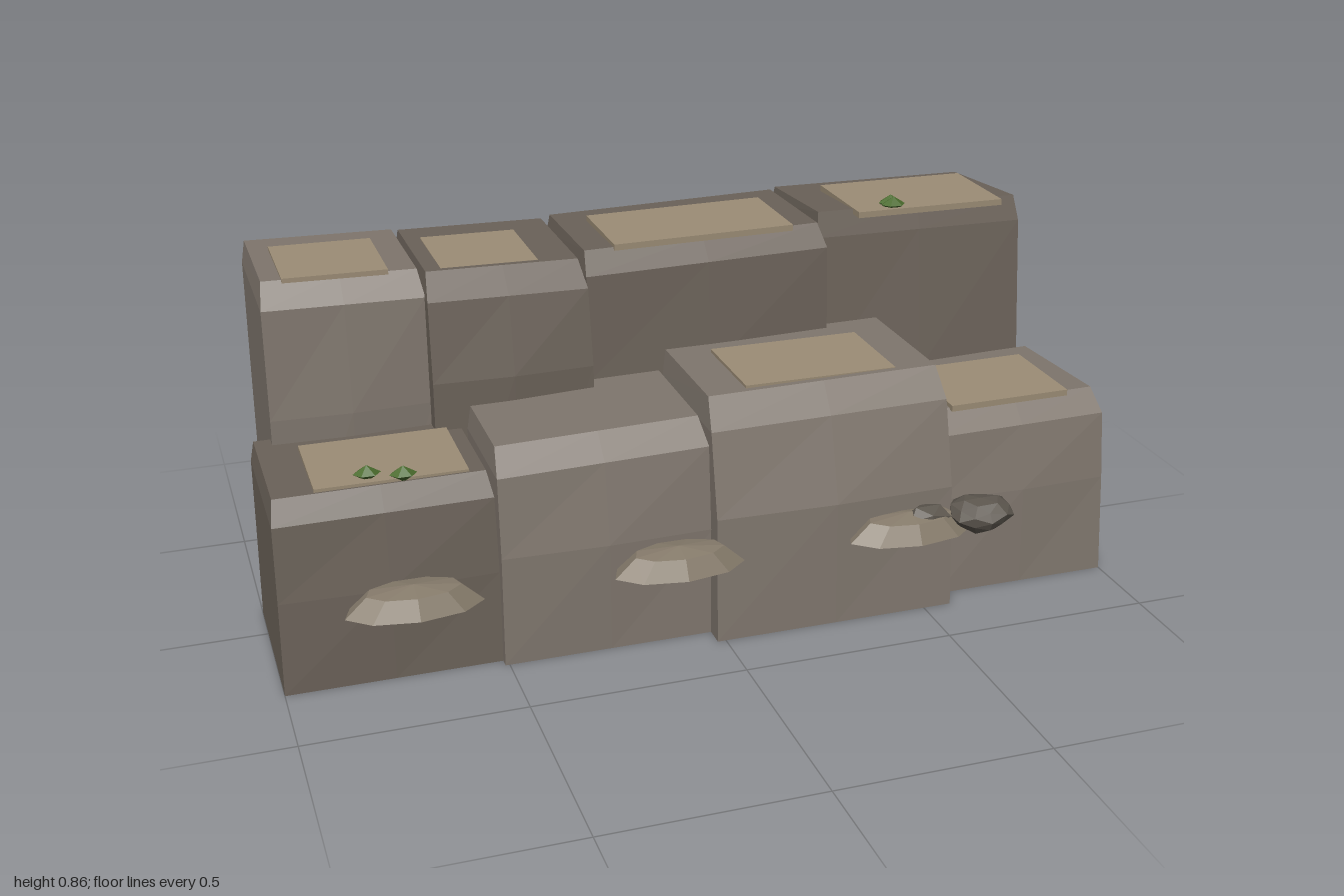
import * as THREE from 'three';

const mat = (color, extra = {}) =>
  new THREE.MeshStandardMaterial({ color, flatShading: true, ...extra });
const paleStone = mat(0x7f766d);
const darkStone = mat(0x6b6259);
const tan = mat(0x9c8d76);
const ledgeStone = mat(0x877c6c);
const rockStone = mat(0x5d574f);
const green = mat(0x4a6b2c);

function add(group, name, geometry, material, x = 0, y = 0, z = 0) {
  const mesh = new THREE.Mesh(geometry, material);
  mesh.name = name;
  mesh.position.set(x, y, z);
  group.add(mesh);
  return mesh;
}

// Stone block: a box whose rows follow a [z, y] front profile.
// yl / yr shift the top at each end, drop lowers the back of the top.
function blockGeometry({ x0, x1, yl = 0, yr = 0, drop = 0, backIn = 0, back, profile }) {
  const g = new THREE.BoxGeometry(1, 1, 1, 2, 3, 1);
  const p = g.attributes.position;
  for (let i = 0; i < p.count; i++) {
    const u = p.getX(i) + 0.5;
    const row = Math.round((p.getY(i) + 0.5) * 3);
    const front = p.getZ(i) > 0;
    const [fz, fy] = profile[row];
    const inset = [0, 0.003, 0.005, 0.014][row];
    let x = x0 + inset + u * (x1 - x0 - 2 * inset);
    let y = fy + (row > 1 ? yl + (yr - yl) * u : 0);
    let z = front ? fz : back;
    if (!front && row === 3) y -= drop;
    if (!front && u > 0.9) x -= backIn;
    // the middle of the face swells a little
    if (front && row === 1 && Math.abs(u - 0.5) < 0.1) z += 0.008;
    p.setXYZ(i, x, y, z);
  }
  g.computeVertexNormals();
  return g;
}

// Half lens with a flat underside
function ledgeGeometry() {
  const pts = [[0, 0], [1, 0], [0.68, 0.8], [0, 1]].map(([r, y]) => new THREE.Vector2(r, y));
  return new THREE.LatheGeometry(pts, 9).scale(0.155, 0.055, 0.073);
}

// Faceted stone, roughened by a fixed wave of the vertex position
function rockGeometry(sx, sy, sz, detail) {
  const g = new THREE.IcosahedronGeometry(1, detail);
  const p = g.attributes.position;
  const v = new THREE.Vector3();
  for (let i = 0; i < p.count; i++) {
    v.fromBufferAttribute(p, i);
    v.multiplyScalar(1 + 0.08 * Math.sin(v.x * 7 + v.y * 5 + v.z * 3));
    p.setXYZ(i, v.x * sx, v.y * sy, v.z * sz);
  }
  g.computeVertexNormals();
  return g;
}

export function createModel() {
  const model = new THREE.Group();
  model.name = 'steppedStoneWall';

  // Lower row, left to right
  const lower = new THREE.Group();
  lower.name = 'lowerRow';
  [
    { m: darkStone, x0: -1, x1: -0.505, yr: 0.003, drop: 0.005,
      profile: [[0.29, 0], [0.28, 0.22], [0.265, 0.395], [0.23, 0.447]] },
    { m: paleStone, x0: -0.51, x1: -0.01, yl: -0.006, yr: 0.006,
      profile: [[0.312, 0], [0.3, 0.26], [0.275, 0.45], [0.22, 0.505]] },
    { m: paleStone, x0: -0.02, x1: 0.568, yl: -0.005, yr: 0.003, drop: 0.002,
      profile: [[0.36, 0], [0.34, 0.3], [0.29, 0.5], [0.24, 0.568]] },
    { m: paleStone, x0: 0.56, x1: 1, yl: -0.005, yr: 0.002, drop: 0.01, backIn: 0.008,
      profile: [[0.305, 0], [0.285, 0.24], [0.265, 0.4], [0.215, 0.45]] },
  ].forEach((b, i) => add(lower, `lowerBlock${i + 1}`, blockGeometry({ back: -0.105, ...b }), b.m));

  // Upper row, standing behind the lower one
  const upper = new THREE.Group();
  upper.name = 'upperRow';
  [
    { m: paleStone, x0: -0.95, x1: -0.57, yl: 0.002, yr: -0.004, drop: 0.004,
      profile: [[-0.06, 0], [-0.07, 0.5], [-0.088, 0.755], [-0.13, 0.812]] },
    { m: darkStone, x0: -0.582, x1: -0.195, yl: 0.003, yr: -0.002, drop: 0.004,
      profile: [[-0.015, 0], [-0.028, 0.56], [-0.055, 0.745], [-0.11, 0.802]] },
    { m: darkStone, x0: -0.2, x1: 0.415, yl: -0.006, yr: 0.006, drop: 0.006,
      profile: [[-0.06, 0], [-0.075, 0.5], [-0.088, 0.765], [-0.135, 0.815]] },
    { m: darkStone, x0: 0.4, x1: 0.957, yl: 0.003, yr: -0.002, drop: 0.018, backIn: 0.018,
      profile: [[-0.1, 0], [-0.105, 0.42], [-0.142, 0.775], [-0.16, 0.836]] },
  ].forEach((b, i) => add(upper, `upperBlock${i + 1}`, blockGeometry({ back: -0.457, ...b }), b.m));

  // Thin worn slabs on the block tops: x range, z range, top height, tilt about z
  const slabs = new THREE.Group();
  slabs.name = 'topSlabs';
  [
    [-0.895, -0.555, -0.02, 0.225, 0.455, 0],
    [0.09, 0.46, -0.02, 0.225, 0.571, 0],
    [0.61, 0.915, -0.02, 0.23, 0.457, 0.01],
    [-0.89, -0.65, -0.37, -0.125, 0.816, -0.01],
    [-0.53, -0.3, -0.37, -0.125, 0.803, -0.012],
    [-0.115, 0.335, -0.37, -0.125, 0.822, 0.012],
    [0.505, 0.89, -0.37, -0.12, 0.84, -0.005],
  ].forEach(([x0, x1, z0, z1, top, tilt], i) => {
    const slab = add(slabs, `topSlab${i + 1}`, new THREE.BoxGeometry(x1 - x0, 0.015, z1 - z0), tan,
      (x0 + x1) / 2, top - 0.0075, (z0 + z1) / 2);
    slab.rotation.z = tilt;
  });

  // Small ledges along the front
  const ledges = new THREE.Group();
  ledges.name = 'frontLedges';
  [[-0.715, 0.358], [-0.115, 0.362], [0.45, 0.363]].forEach(([x, z], i) =>
    add(ledges, `frontLedge${i + 1}`, ledgeGeometry(), ledgeStone, x, 0.209, z));

  // Loose rocks beside the last ledge
  const rocks = new THREE.Group();
  rocks.name = 'looseRocks';
  add(rocks, 'largeRock', rockGeometry(0.077, 0.041, 0.065, 1), rockStone, 0.617, 0.248, 0.388);
  add(rocks, 'smallRock', rockGeometry(0.055, 0.026, 0.04, 0), rockStone, 0.492, 0.25, 0.368);

  // Moss tufts
  const moss = new THREE.Group();
  moss.name = 'mossTufts';
  [
    [-0.775, 0.464, 0.195], [-0.7, 0.464, 0.222],
    [0.607, 0.845, -0.165], [0.607, 0.845, -0.147],
  ].forEach(([x, y, z], i) =>
    add(moss, `mossTuft${i + 1}`, new THREE.SphereGeometry(0.031, 6, 2).scale(1, 0.62, 0.75), green, x, y, z));

  model.add(lower, upper, slabs, ledges, rocks, moss);
  return model;
}
